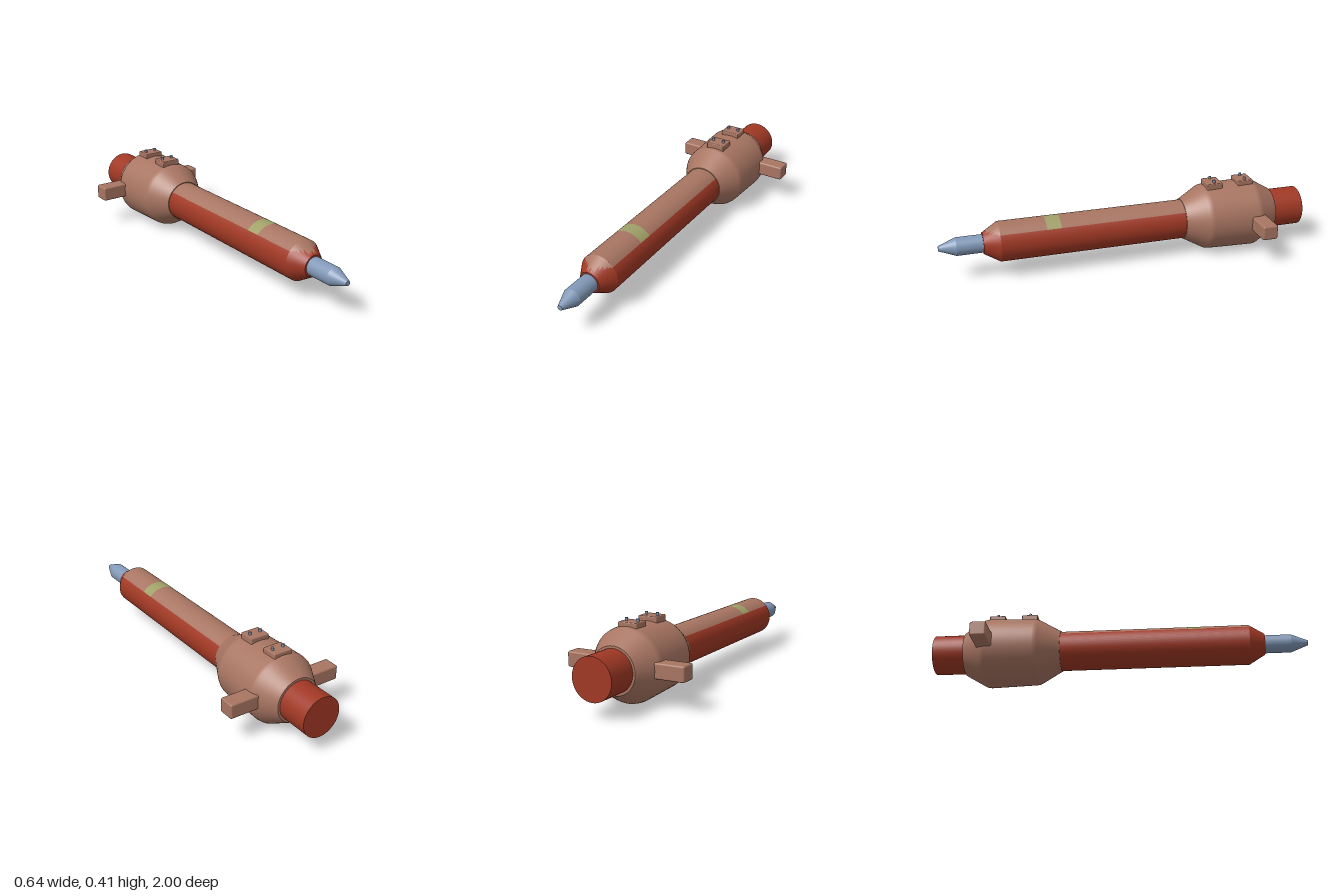
import * as THREE from 'three';
import { mergeGeometries } from 'three/addons/utils/BufferGeometryUtils.js';
import { RoundedBoxGeometry } from 'three/addons/geometries/RoundedBoxGeometry.js';

const AXIS_Y = 0.188;
const R = 0.106;
const HALF = THREE.MathUtils.degToRad(50); // half angle of the pale upper panel

const material = (name, color) => {
  const m = new THREE.MeshStandardMaterial({ color });
  m.name = name;
  return m;
};

// Smooth surface of revolution about the z axis; profile is [radius, z], back to front.
// Angle 0 is straight up.
function turn(profile, segments = 64, start = -Math.PI, length = Math.PI * 2) {
  const pts = profile.map(([r, z]) => new THREE.Vector2(r, z));
  return new THREE.LatheGeometry(pts, segments, Math.PI + start, length).rotateX(Math.PI / 2);
}

// Same, with a hard edge at every profile point.
function turnCreased(profile, ...arc) {
  return mergeGeometries(profile.slice(1).map((p, i) => turn([profile[i], p], ...arc)));
}

export function createModel() {
  const root = new THREE.Group();
  root.name = 'torpedoTool';
  const red = material('rust red', 0xa03824);
  const brown = material('clay brown', 0xa87562);
  const steel = material('blue steel', 0x8299b8);
  const green = material('olive green', 0xa0a068);

  const add = (name, geometry, mat, x = 0, y = AXIS_Y, z = 0) => {
    const mesh = new THREE.Mesh(geometry, mat);
    mesh.name = name;
    mesh.position.set(x, y, z);
    root.add(mesh);
    return mesh;
  };

  // Main tube: red rear stub, then a red lower shell with a pale panel on top
  const panel = [24, -HALF, HALF * 2];
  const lower = [48, HALF, Math.PI * 2 - HALF * 2];
  add('rearTube', turnCreased([[0, -1], [R, -1], [R, -0.4]]), red);
  add('lowerShell', turn([[R, -0.4], [R, 0.69]], ...lower), red);
  add('upperPanelRear', turn([[R, -0.4], [R, 0.37]], ...panel), brown);
  add('greenBand', turn([[R, 0.37], [R, 0.447]], ...panel), green);
  add('upperPanelFront', turn([[R, 0.447], [R, 0.69]], ...panel), brown);

  // Nose cone, with a ragged edge between panel and shell
  const back = [R, 0.69], front = [0.056, 0.773];
  const at = t => [0, 1].map(k => back[k] + (front[k] - back[k]) * t);
  const paleParts = [], redParts = [turn([back, front], ...lower)];
  const reach = [0.75, 0.9, 0.78, 0.88, 0.5, 0.6, 0.35, 0.42, 0.22, 0.1];
  const step = HALF / reach.length;
  reach.forEach((t, i) => {
    for (const start of [i * step, -(i + 1) * step]) {
      paleParts.push(turn([back, at(t)], 1, start, step));
      redParts.push(turn([at(t), front], 1, start, step));
    }
  });
  redParts.push(turn([front, [0, front[1]]]));
  add('nosePanel', mergeGeometries(paleParts), brown);
  add('noseShell', mergeGeometries(redParts), red);

  // Steel tip
  add('tip', turnCreased([[0.048, 0.76], [0.048, 0.91], [0.013, 1], [0, 1]]), steel);

  // Bulged collar with softened shoulders and flat ends
  add('collar', turn([
    [0.118, -0.831], [0.124, -0.822], [0.178, -0.73], [0.184, -0.718], [0.187, -0.7],
    [0.179, -0.45], [0.177, -0.436], [0.172, -0.424], [0.114, -0.322], [0.11, -0.312],
  ]), brown);
  add('collarRearFace', turn([[0.1, -0.831], [0.118, -0.831]]), brown);
  add('collarFrontFace', turn([[0.11, -0.312], [0.1, -0.312]]), brown);

  // Side handles
  for (const side of [1, -1]) {
    add(side > 0 ? 'leftHandle' : 'rightHandle',
      new RoundedBoxGeometry(0.2, 0.078, 0.085, 3, 0.009), brown, side * 0.222, 0.189, -0.703);
  }

  // Two mounting blocks on the collar, each with a pair of pegs
  for (const z of [-0.667, -0.489]) {
    add('mountingBlock', new RoundedBoxGeometry(0.104, 0.05, 0.087, 2, 0.005), brown, 0, 0.367, z);
    for (const x of [-0.031, 0.031]) {
      add('peg', new THREE.CylinderGeometry(0.0075, 0.0075, 0.03, 16), steel, x, 0.391, z);
    }
  }
  return root;
}
